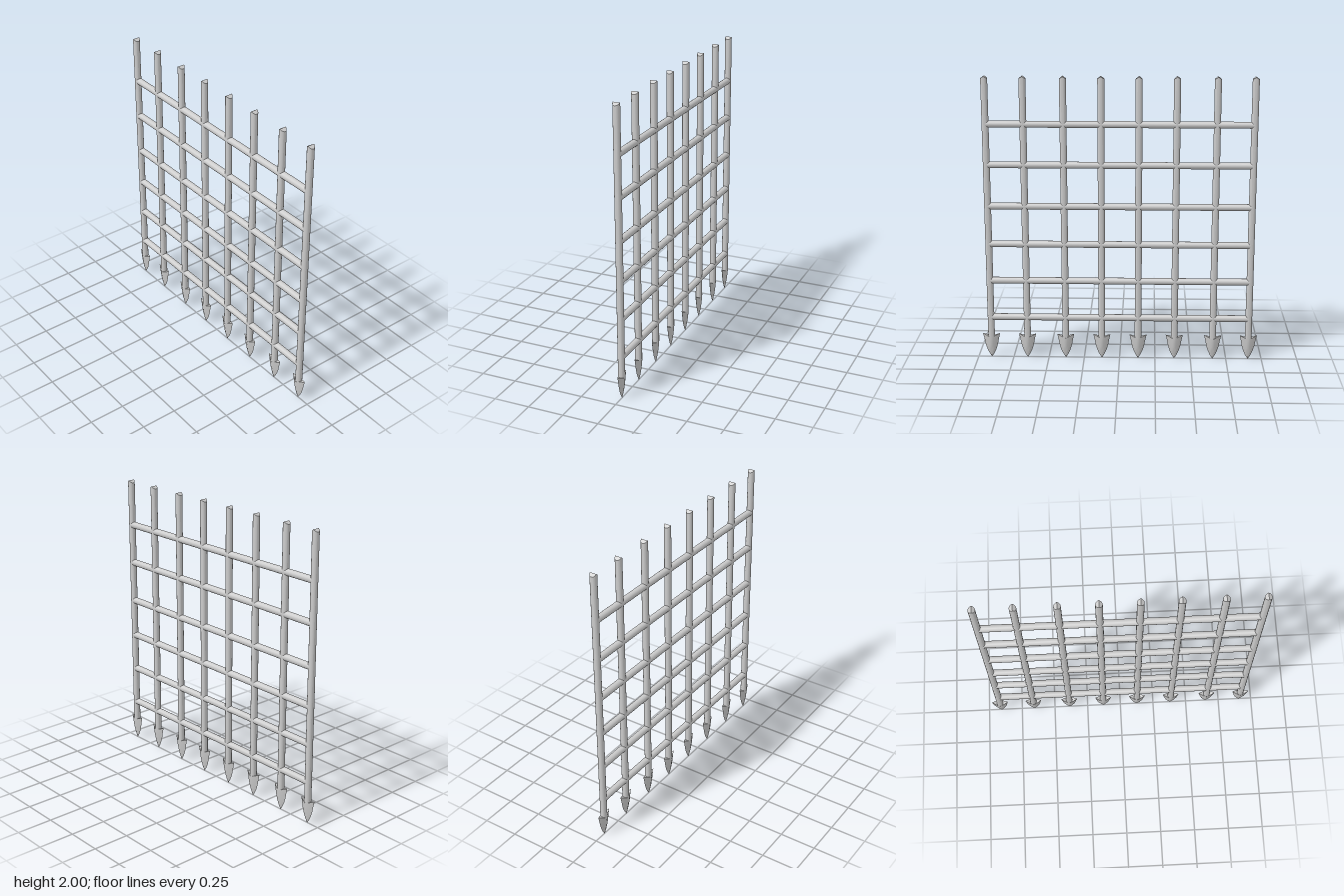
import * as THREE from 'three';
import { toCreasedNormals } from 'three/addons/utils/BufferGeometryUtils.js';

const R = 0.0235;
const BAR_X = [-0.905, -0.655, -0.385, -0.13, 0.125, 0.38, 0.65, 0.905];
const RAIL_Y = [0.3, 0.57, 0.835, 1.105, 1.395, 1.675];
const material = new THREE.MeshStandardMaterial({ color: 0xcccccc });

function add(group, name, geometry, x, y) {
  const mesh = new THREE.Mesh(geometry, material);
  mesh.name = name;
  mesh.position.set(x, y, 0);
  group.add(mesh);
  return mesh;
}

// Upright bar whose top is cut to a small ridge running front to back
function barGeometry() {
  const bottom = 0.148, top = 2;
  const g = new THREE.CylinderGeometry(R, R, top - bottom, 16);
  g.translate(0, (top + bottom) / 2, 0);
  const p = g.attributes.position;
  for (let i = 0; i < p.count; i++) {
    if (p.getY(i) > 1) p.setY(i, top - 0.7 * Math.abs(p.getX(i)));
  }
  return toCreasedNormals(g, 0.6);
}

// Flat barbed point: lens-shaped sections, growing from the tip to the swept barbs
function spearGeometry() {
  // centre height, edge height, half width, half thickness
  const rows = [
    [0, 0, 0.001, 0.001], [0.025, 0.027, 0.018, 0.007], [0.055, 0.06, 0.033, 0.013],
    [0.085, 0.097, 0.044, 0.018], [0.118, 0.135, 0.051, 0.022], [0.15, 0.175, 0.06, 0.0245],
  ];
  const half = 8, n = half * 2, pos = [], index = [];
  for (const [yc, ye, w, d] of rows) {
    for (let j = 0; j < n; j++) {
      const front = j < half;
      const u = front ? 1 - (2 * j) / half : -1 + (2 * (j - half)) / half;
      const a = Math.abs(u);
      pos.push(u * w, yc + (ye - yc) * a, (front ? 1 : -1) * d * (1 - 0.6 * a - 0.4 * a * a));
    }
  }
  for (let i = 0; i < rows.length - 1; i++) {
    for (let j = 0; j < n; j++) {
      const a = i * n + j, b = i * n + (j + 1) % n;
      index.push(a, a + n, b, b, a + n, b + n);
    }
  }
  // Notched upper face, bridging the front edge to the back edge
  const t = (rows.length - 1) * n;
  for (let j = 0; j < half; j++) {
    const a = t + j, b = t + j + 1, c = t + (n - j) % n, d = t + n - j - 1;
    if (j > 0) index.push(a, c, b);
    if (j < half - 1) index.push(b, c, d);
  }
  const g = new THREE.BufferGeometry();
  g.setAttribute('position', new THREE.Float32BufferAttribute(pos, 3));
  g.setIndex(index);
  return toCreasedNormals(g, 0.7);
}

export function createModel() {
  const model = new THREE.Group();
  model.name = 'gateGrille';

  const bar = barGeometry();
  const spear = spearGeometry();
  BAR_X.forEach((x, i) => {
    const upright = new THREE.Group();
    upright.name = `upright${i + 1}`;
    add(upright, 'verticalBar', bar, x, 0);
    add(upright, 'spearPoint', spear, x, 0);
    model.add(upright);
  });

  // Cross rails, ending inside the outer bars
  const rail = new THREE.CylinderGeometry(R, R, 1.81, 16);
  rail.rotateZ(Math.PI / 2);
  RAIL_Y.forEach((y, i) => add(model, `crossRail${i + 1}`, rail, 0, y));

  return model;
}
